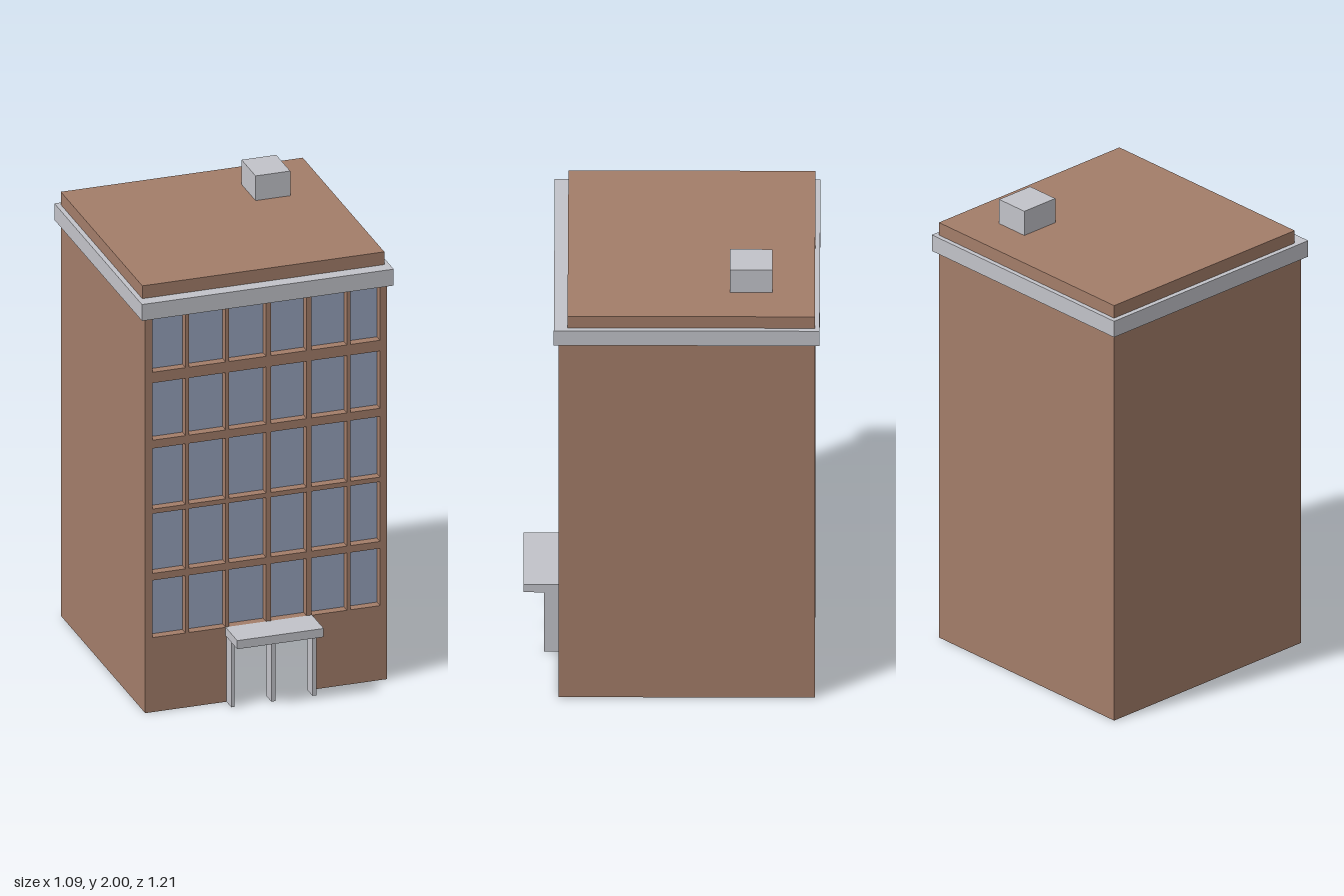
import * as THREE from 'three';
import { mergeGeometries } from 'three/addons/utils/BufferGeometryUtils.js';

const mat = (name, color) => {
  const m = new THREE.MeshStandardMaterial({ color, side: THREE.DoubleSide });
  m.name = name;
  return m;
};

// Flat panel facing +z, turned about x and y, then placed
function panel(w, h, x, y, z, rx = 0, ry = 0) {
  return new THREE.PlaneGeometry(w, h).rotateX(rx).rotateY(ry).translate(x, y, z);
}

function block(x0, x1, y0, y1, z0, z1) {
  return new THREE.BoxGeometry(x1 - x0, y1 - y0, z1 - z0)
    .translate((x0 + x1) / 2, (y0 + y1) / 2, (z0 + z1) / 2);
}

function rectangle(Type, x0, x1, y0, y1) {
  const r = new Type();
  r.moveTo(x0, y0);
  r.lineTo(x1, y0);
  r.lineTo(x1, y1);
  r.lineTo(x0, y1);
  r.closePath();
  return r;
}

export function createModel() {
  const group = new THREE.Group();
  const brick = mat('brick', 0xa37d69);
  const glass = mat('glass', 0x97a3bb);
  const stone = mat('stone', 0xc2c3c9);
  const add = (name, geometry, material) => {
    const mesh = new THREE.Mesh(geometry, material);
    mesh.name = name;
    group.add(mesh);
  };

  const W = 0.523, FRONT = 0.46, BACK = -0.585, TOP = 1.78, GLASS_Z = 0.422;
  const DEPTH = FRONT - BACK, MID = (FRONT + BACK) / 2;

  const columns = [[-0.492, -0.349], [-0.333, -0.175], [-0.161, 0],
    [0.021, 0.175], [0.196, 0.349], [0.365, 0.492]];
  const rows = [[0.332, 0.587], [0.618, 0.884], [0.905, 1.175],
    [1.212, 1.467], [1.515, 1.765]];

  // Front wall with an open doorway, window holes, reveals and recessed panes
  const wall = new THREE.Shape();
  [[-W, 0], [-0.172, 0], [-0.172, 0.3], [0.196, 0.3], [0.196, 0], [W, 0], [W, TOP], [-W, TOP]]
    .forEach(([x, y], i) => (i ? wall.lineTo(x, y) : wall.moveTo(x, y)));
  const reveals = [], panes = [];
  const d = FRONT - GLASS_Z, zr = (FRONT + GLASS_Z) / 2, Q = Math.PI / 2;
  for (const [y0, y1] of rows) {
    for (const [x0, x1] of columns) {
      const w = x1 - x0, h = y1 - y0, x = (x0 + x1) / 2, y = (y0 + y1) / 2;
      wall.holes.push(rectangle(THREE.Path, x0, x1, y0, y1));
      reveals.push(
        panel(d, h, x0, y, zr, 0, Q), panel(d, h, x1, y, zr, 0, -Q),
        panel(w, d, x, y0, zr, -Q), panel(w, d, x, y1, zr, Q));
      panes.push(panel(w, h, x, y, GLASS_Z));
    }
  }
  add('frontWall', new THREE.ShapeGeometry(wall).translate(0, 0, FRONT), brick);
  add('windowReveals', mergeGeometries(reveals), brick);
  add('windowPanes', mergeGeometries(panes), glass);

  // Plain walls, open at the bottom
  add('backWall', panel(2 * W, TOP, 0, TOP / 2, BACK, 0, Math.PI), brick);
  add('leftWall', panel(DEPTH, TOP, W, TOP / 2, MID, 0, Q), brick);
  add('rightWall', panel(DEPTH, TOP, -W, TOP / 2, MID, 0, -Q), brick);

  // Roof block, with the cornice as a ring around it
  const ROOF_FRONT = 0.424;
  add('roof', block(-W, W, 1.765, 1.89, BACK, ROOF_FRONT), brick);
  const ring = rectangle(THREE.Shape, -0.544, 0.544, -0.48, 0.605);
  ring.holes.push(rectangle(THREE.Path, -W, W, -ROOF_FRONT, -BACK));
  add('cornice', new THREE.ExtrudeGeometry(ring, { depth: 0.073, bevelEnabled: false })
    .rotateX(-Q).translate(0, 1.76, 0), stone);
  add('roofVent', block(0.198, 0.348, 1.89, 2, -0.412, -0.239), stone);

  // Entrance canopy on three posts
  add('canopy', block(-0.176, 0.198, 0.295, 0.333, FRONT, 0.605), stone);
  for (const [x0, x1] of [[-0.172, -0.158], [0.001, 0.02], [0.179, 0.196]]) {
    add('canopyPost', block(x0, x1, 0, 0.296, FRONT, 0.52), stone);
  }
  return group;
}
